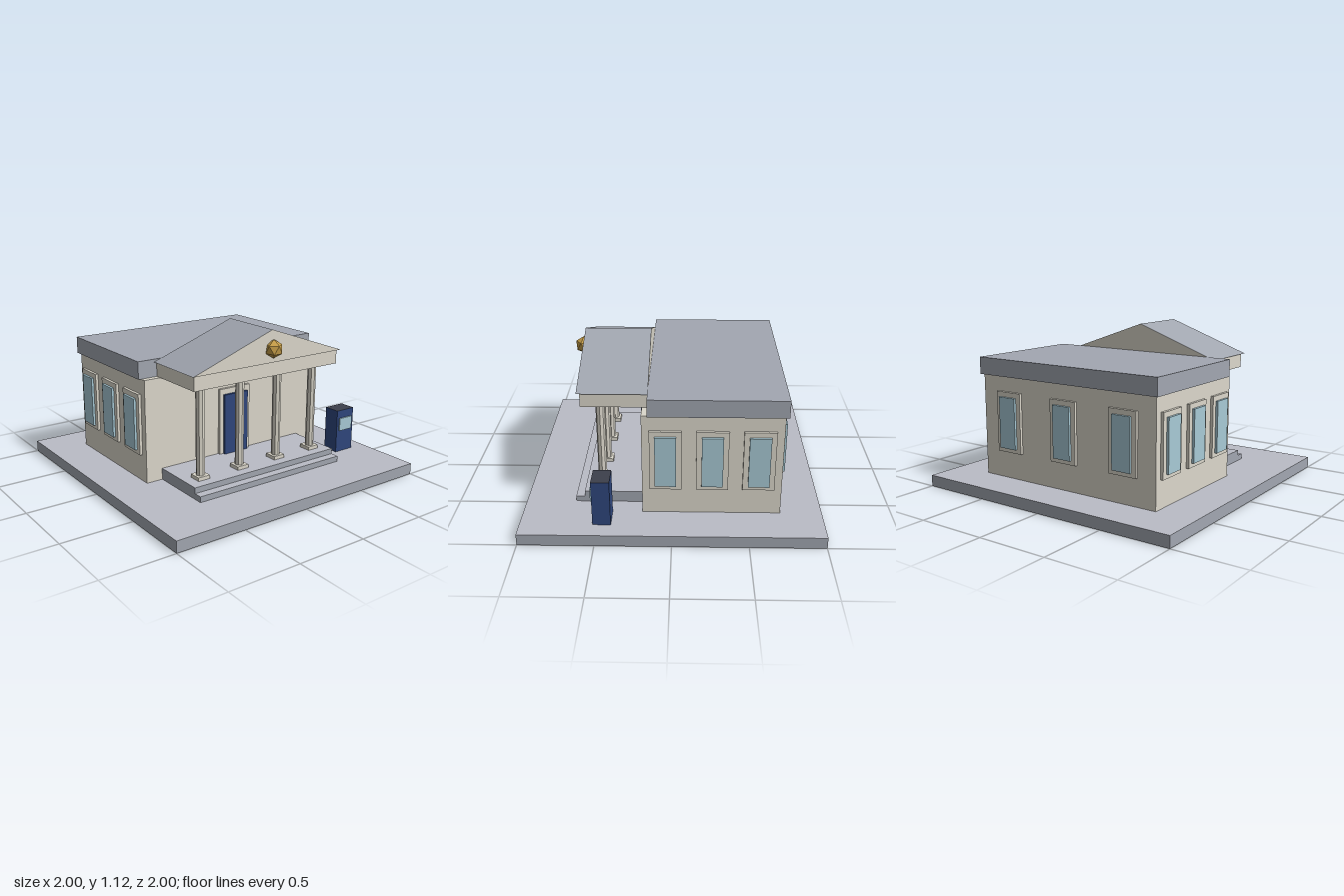
import * as THREE from 'three';

const mat = (color) => new THREE.MeshStandardMaterial({ color, flatShading: true });

export function createModel() {
  const root = new THREE.Group();
  root.name = 'classicalBuilding';
  const wall = mat(0xdcd8cc), stone = mat(0xa2a7b1), paving = mat(0xbabcc6);
  const blue = mat(0x2f477d), glass = mat(0xa8cad6), gold = mat(0xc9a04a), dark = mat(0x3d404c);

  function add(parent, name, geometry, material) {
    const mesh = new THREE.Mesh(geometry, material);
    mesh.name = name;
    parent.add(mesh);
    return mesh;
  }
  // Box given by its limits on each axis
  function box(parent, name, material, [x0, x1], [y0, y1], [z0, z1]) {
    const mesh = add(parent, name, new THREE.BoxGeometry(x1 - x0, y1 - y0, z1 - z0), material);
    mesh.position.set((x0 + x1) / 2, (y0 + y1) / 2, (z0 + z1) / 2);
    return mesh;
  }
  // Sides in one colour, top face in another
  const topped = (side, top) => [side, side, top, side, side, side];

  // Ground slab and steps
  const paved = topped(stone, paving);
  box(root, 'groundSlab', paved, [-1, 1], [0, 0.08], [-1, 1]);
  box(root, 'lowerStep', paved, [-0.6, 0.6], [0.08, 0.12], [0.2, 0.66]);
  box(root, 'porchFloor', paved, [-0.6, 0.6], [0.08, 0.16], [0.2, 0.6]);

  // Main hall and flat roof
  box(root, 'hall', wall, [-0.72, 0.72], [0.08, 0.8], [-0.72, 0.2]);
  box(root, 'flatRoof', stone, [-0.74, 0.74], [0.8, 0.92], [-0.74, 0.16]);

  // Porch columns
  for (const x of [-0.48, -0.16, 0.16, 0.48]) {
    const column = new THREE.Group();
    column.name = 'column';
    column.position.set(x, 0, 0.485);
    const half = [-0.045, 0.045];
    box(column, 'columnBase', wall, half, [0.16, 0.185], half);
    add(column, 'columnShaft', new THREE.CylinderGeometry(0.03, 0.03, 0.595, 8), wall).position.y = 0.4825;
    box(column, 'columnCapital', wall, half, [0.78, 0.8], half);
    root.add(column);
  }

  // Beam over the columns and gabled porch roof
  box(root, 'entablature', wall, [-0.6, 0.6], [0.8, 0.9], [0.16, 0.6]);
  const gable = new THREE.Shape([
    new THREE.Vector2(-0.62, 0.9), new THREE.Vector2(0.62, 0.9), new THREE.Vector2(0, 1.12),
  ]);
  add(root, 'pediment', new THREE.ExtrudeGeometry(gable, { depth: 0.46, bevelEnabled: false }), [wall, stone])
    .position.z = 0.16;

  // Faceted ornament, one corner pointing up
  const ornament = add(root, 'ornament', new THREE.IcosahedronGeometry(0.063, 0), gold);
  ornament.rotation.x = -Math.atan((1 + Math.sqrt(5)) / 2);
  ornament.position.set(0, 0.995, 0.635);

  // Door and plaque on the front wall
  box(root, 'doorFrame', wall, [-0.13, 0.13], [0.16, 0.64], [0.2, 0.22]);
  box(root, 'door', blue, [-0.1, 0.1], [0.16, 0.6], [0.22, 0.24]);
  box(root, 'plaque', gold, [-0.3, 0.3], [0.73, 0.79], [0.2, 0.24]);
  for (let i = 0; i < 6; i++) {
    const x = -0.25 + i * 0.1;
    box(root, 'plaquePanel', blue, [x - 0.033, x + 0.033], [0.743, 0.777], [0.24, 0.247]);
  }

  // Windows, three on each side and three at the back
  function addWindow(x, z, turn) {
    const unit = new THREE.Group();
    unit.name = 'window';
    box(unit, 'windowFrame', wall, [-0.105, 0.105], [0.27, 0.695], [0, 0.02]);
    box(unit, 'windowPane', glass, [-0.07, 0.07], [0.3, 0.66], [0.02, 0.037]);
    unit.position.set(x, 0, z);
    unit.rotation.y = turn;
    root.add(unit);
  }
  for (const side of [-1, 1]) {
    for (const z of [0.045, -0.26, -0.565]) addWindow(side * 0.72, z, side * Math.PI / 2);
  }
  for (const x of [-0.48, 0, 0.48]) addWindow(x, -0.72, Math.PI);

  // Free-standing machine beside the porch
  const kiosk = new THREE.Group();
  kiosk.name = 'kiosk';
  box(kiosk, 'kioskBody', topped(blue, dark), [0.72, 0.88], [0.08, 0.4], [0.4, 0.52]);
  box(kiosk, 'kioskScreen', glass, [0.74, 0.86], [0.245, 0.34], [0.52, 0.53]);
  root.add(kiosk);

  return root;
}
